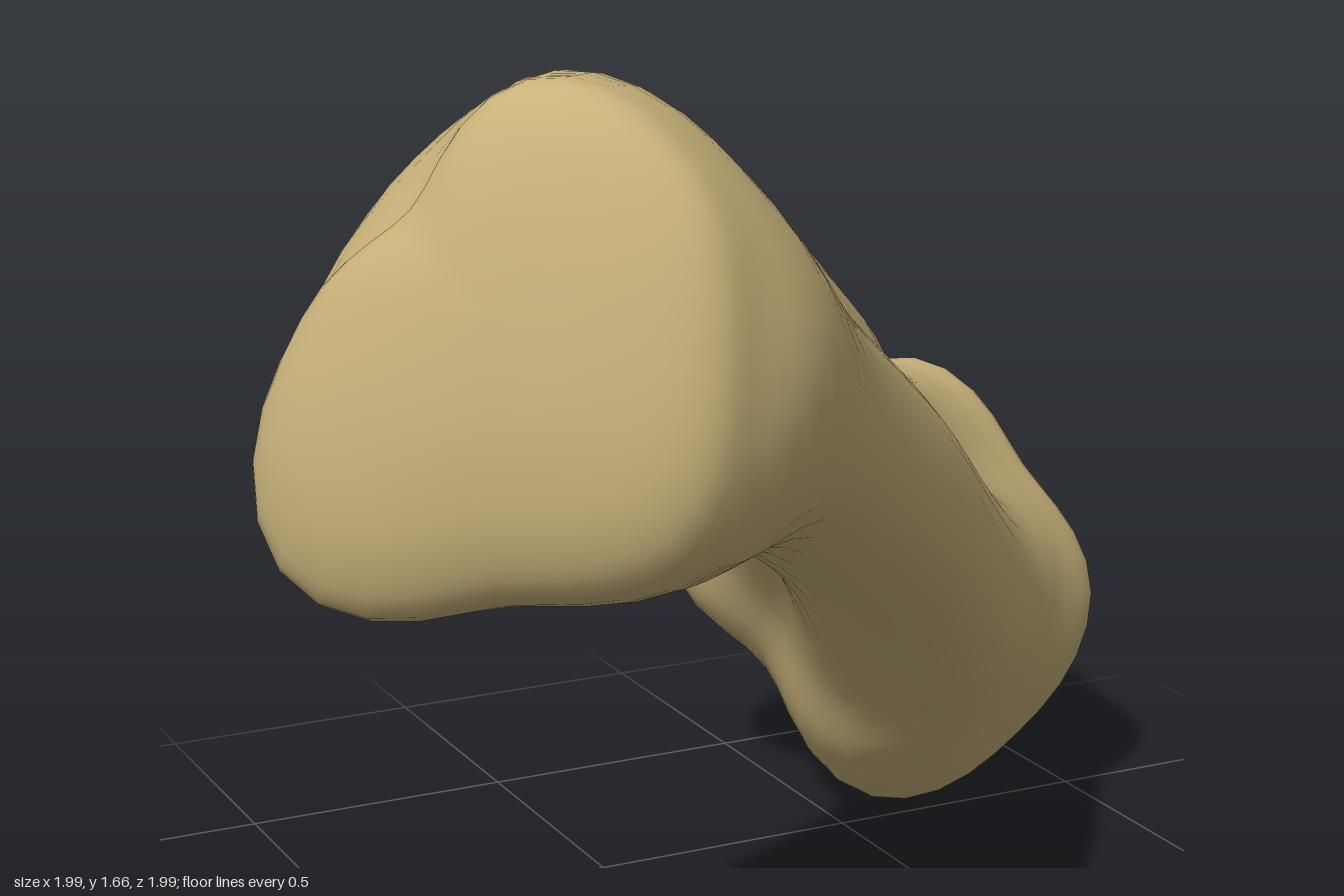
import * as THREE from 'three';
import { mergeVertices } from 'three/addons/utils/BufferGeometryUtils.js';

// Smooth interpolation between four numbers
function spline(a, b, c, d, f) {
  return b + 0.5 * f * (c - a + f * (2 * a - 5 * b + 4 * c - d + f * (3 * (b - c) + d - a)));
}

// Bone frame: along the shaft, sideways, and upward across it
const ORIGIN = new THREE.Vector3(0, 0.815, 0);
const ALONG = new THREE.Vector3(0.633, -0.445, -0.633);
const SIDE = new THREE.Vector3(0.707, 0, 0.707);
const UP = new THREE.Vector3(0.315, 0.896, -0.315);

// Sections: distance along, side centre, up centre, lean, then eight radii
// counter-clockwise from the side direction
const SECTIONS = [
  [-1.11, 0.05, 0.0, -0.25, 0.33, 0.34, 0.34, 0.23, 0.32, 0.46, 0.34, 0.37], // upper head
  [-0.92, 0.05, 0.05, -0.18, 0.38, 0.33, 0.35, 0.34, 0.35, 0.39, 0.33, 0.39],
  [-0.52, 0.12, 0.14, 0, 0.25, 0.175, 0.26, 0.34, 0.25, 0.235, 0.28, 0.33], // shaft
  [0.0, 0.13, 0.135, 0, 0.24, 0.165, 0.245, 0.345, 0.24, 0.18, 0.25, 0.33],
  [0.45, 0.09, 0.1, 0, 0.27, 0.18, 0.27, 0.355, 0.25, 0.18, 0.25, 0.34],
  [0.72, 0.05, 0.08, 0, 0.31, 0.24, 0.33, 0.365, 0.3, 0.21, 0.29, 0.36],
  [0.9, 0.02, 0.08, 0, 0.36, 0.3, 0.38, 0.38, 0.42, 0.28, 0.385, 0.38], // lower head
  [1.07, 0.02, 0.08, -0.12, 0.39, 0.33, 0.42, 0.37, 0.39, 0.31, 0.43, 0.39],
];

// Copy of a section moved along the bone and shrunk, for the rounded ends
function endSection(section, shift, scale) {
  return section.map((n, i) => (i === 0 ? n + shift : i > 3 ? n * scale : n));
}

function boneGeometry() {
  const first = SECTIONS[0], last = SECTIONS[SECTIONS.length - 1];
  const rings = [
    endSection(first, -0.13, 0), endSection(first, -0.12, 0.45), endSection(first, -0.08, 0.84),
    ...SECTIONS,
    endSection(last, 0.08, 0.86), endSection(last, 0.15, 0.45), endSection(last, 0.17, 0),
  ];
  const STEPS = 5, AROUND = 40;
  const positions = [], index = [];
  const at = (i) => rings[THREE.MathUtils.clamp(i, 0, rings.length - 1)];
  const rows = (rings.length - 1) * STEPS;

  for (let r = 0; r <= rows; r++) {
    const k = Math.floor(r / STEPS), f = (r % STEPS) / STEPS;
    const ring = at(k).map((_, n) => spline(at(k - 1)[n], at(k)[n], at(k + 1)[n], at(k + 2)[n], f));
    const [t, side, up, lean, ...radii] = ring;
    for (let j = 0; j < AROUND; j++) {
      const q = (j / AROUND) * 8, m = Math.floor(q);
      const rad = (o) => radii[(m + o + 8) % 8];
      const radius = Math.max(0, spline(rad(-1), rad(0), rad(1), rad(2), q - m));
      const angle = (q * Math.PI) / 4;
      const v = radius * Math.sin(angle);
      const p = ORIGIN.clone()
        .addScaledVector(ALONG, t + lean * (up + v))
        .addScaledVector(SIDE, side + radius * Math.cos(angle))
        .addScaledVector(UP, up + v);
      positions.push(p.x, p.y, p.z);
      if (r < rows) {
        const a = r * AROUND + j, b = r * AROUND + ((j + 1) % AROUND);
        index.push(a, a + AROUND, b, b, a + AROUND, b + AROUND);
      }
    }
  }

  // Merge the collapsed end rings so the ends shade smoothly
  const loft = new THREE.BufferGeometry();
  loft.setAttribute('position', new THREE.Float32BufferAttribute(positions, 3));
  loft.setIndex(index);
  const geometry = mergeVertices(loft, 1e-5);
  geometry.computeVertexNormals();
  return geometry;
}

export function createModel() {
  const group = new THREE.Group();
  group.name = 'bone';
  const boneTan = new THREE.MeshStandardMaterial({ color: 0xc8b27a });
  boneTan.name = 'bone tan';
  const bone = new THREE.Mesh(boneGeometry(), boneTan);
  bone.name = 'boneShaftAndHeads';
  group.add(bone);
  return group;
}
